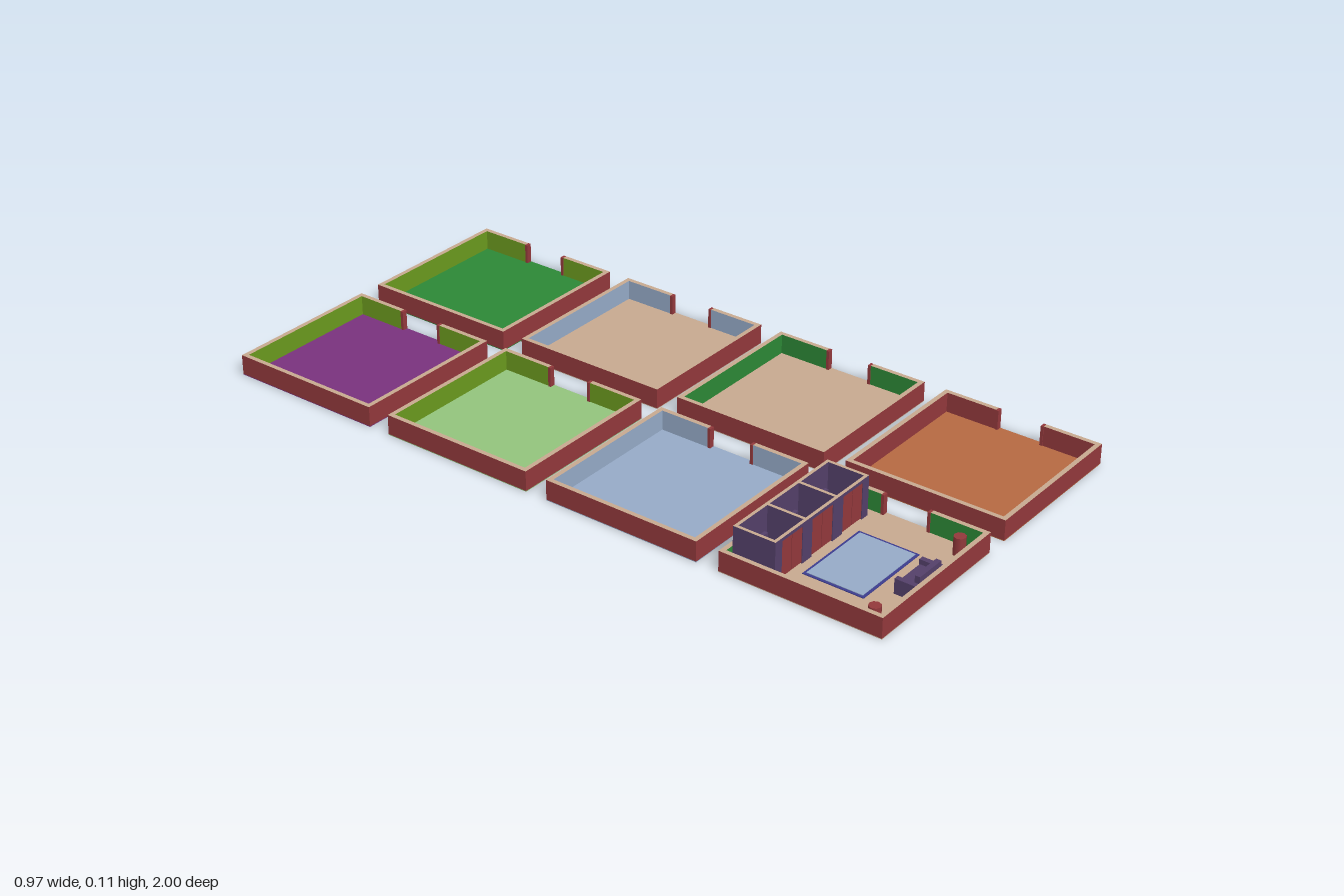
import * as THREE from 'three';

const mat = (name, color) => {
  const m = new THREE.MeshStandardMaterial({ color });
  m.name = name;
  return m;
};

export function createModel() {
  const brick = mat('brick red', 0x93393c), tan = mat('tan', 0xc8aa90);
  const purple = mat('purple', 0x7a327e), green = mat('green', 0x2d8836);
  const lime = mat('light green', 0x93c47d), blue = mat('soft blue', 0x96abc8);
  const orange = mat('terracotta', 0xb66a42), olive = mat('olive', 0x6b9a1e);
  const indigo = mat('indigo', 0x54406a), navy = mat('dark blue', 0x3d3d8f);

  const model = new THREE.Group();
  model.name = 'showroomBlocks';

  // Box given by its limits on each axis
  const box = (parent, name, material, [x0, x1], [y0, y1], [z0, z1]) => {
    const mesh = new THREE.Mesh(new THREE.BoxGeometry(x1 - x0, y1 - y0, z1 - z0), material);
    mesh.position.set((x0 + x1) / 2, (y0 + y1) / 2, (z0 + z1) / 2);
    mesh.name = name;
    parent.add(mesh);
    return mesh;
  };

  const H = 0.226, T = 0.013, TOP = 0.057, DOOR = 0.069, FLOOR = 0.002;
  // Brick wall with a tan top and one painted inner face (0 +x, 1 -x, 4 +z, 5 -z)
  const wall = (room, name, paint, face, xs, zs) => {
    const faces = [brick, brick, tan, brick, brick, brick];
    faces[face] = paint;
    box(room, name, faces, xs, [FLOOR, TOP], zs);
  };

  // Open room with a doorway in its +x wall
  const makeRoom = (name, x, z, floor, paint) => {
    const room = new THREE.Group();
    room.name = name;
    room.position.set(x, 0, z);
    model.add(room);
    box(room, 'floor', floor, [-H, H], [0, FLOOR], [-H, H]);
    wall(room, 'leftWall', paint, 0, [-H, -H + T], [-H, H]);
    wall(room, 'backWall', paint, 4, [-H + T, H], [-H, -H + T]);
    wall(room, 'frontWall', paint, 5, [-H + T, H], [H - T, H]);
    for (const s of [-1, 1]) {
      const zs = [s * DOOR, s * (H - T)].sort((a, b) => a - b);
      wall(room, 'doorWall', paint, 1, [H - T, H], zs);
      // Brick door jamb
      const j = [s * DOOR, s * (DOOR - 0.008)].sort((a, b) => a - b);
      box(room, 'doorJamb', brick, [H - T - 0.002, H], [FLOOR, TOP], j);
    }
    return room;
  };

  const layout = [
    [[purple, olive], [green, olive]],
    [[lime, olive], [tan, blue]],
    [[blue, blue], [tan, green]],
    [[tan, green], [orange, brick]],
  ];
  const rooms = layout.map((row, r) => row.map(([floor, paint], c) =>
    makeRoom('room' + (r * 2 + c + 1), c ? 0.2585 : -0.2585, -0.774 + r * 0.516, floor, paint)));

  // Furniture, placed in model coordinates
  const set = new THREE.Group();
  set.name = 'furniture';
  set.position.copy(rooms[3][0].position).negate();
  rooms[3][0].add(set);

  // Row of three fitting booths
  const booths = new THREE.Group();
  booths.name = 'fittingBooths';
  set.add(booths);
  const capped = [indigo, indigo, tan, indigo, indigo, indigo];
  const Y = [FLOOR, 0.113], zb = 0.563, zf = 0.683;
  box(booths, 'boothBack', capped, [-0.45, -0.07], Y, [zb, zb + 0.009]);
  for (const x of [-0.4455, -0.323, -0.197, -0.0745])
    box(booths, 'boothDivider', capped, [x - 0.0045, x + 0.0045], Y, [zb + 0.009, zf - 0.009]);
  for (const [a, b] of [[-0.45, -0.423], [-0.341, -0.303], [-0.218, -0.177], [-0.095, -0.07]])
    box(booths, 'boothFront', capped, [a, b], Y, [zf - 0.009, zf]);
  for (const [a, b] of [[-0.423, -0.341], [-0.303, -0.218], [-0.177, -0.095]]) {
    const m = (a + b) / 2;
    box(booths, 'boothHeader', capped, [a, b], [0.104, 0.113], [zf - 0.009, zf]);
    for (const [l, r] of [[a, m - 0.001], [m + 0.001, b]])
      box(booths, 'curtain', brick, [l, r], [0.005, 0.104], [zf - 0.007, zf - 0.002]);
    // Stool with a low back
    box(booths, 'stoolSeat', indigo, [m - 0.034, m + 0.034], [FLOOR, 0.03], [0.584, 0.632]);
    box(booths, 'stoolBack', indigo, [m - 0.034, m + 0.034], [0.03, 0.055], [0.58, 0.59]);
  }

  // Rug with a dark border
  box(set, 'rugBorder', navy, [-0.376, -0.143], [FLOOR, 0.004], [0.708, 0.878]);
  box(set, 'rug', blue, [-0.369, -0.15], [0.004, 0.0055], [0.715, 0.871]);

  // Sofa with its back to the front wall
  const sofa = new THREE.Group();
  sofa.name = 'sofa';
  set.add(sofa);
  box(sofa, 'sofaSeat', indigo, [-0.302, -0.213], [FLOOR, 0.03], [0.922, 0.965]);
  box(sofa, 'sofaBack', indigo, [-0.302, -0.213], [FLOOR, 0.062], [0.965, 0.979]);
  for (const x of [-0.309, -0.206])
    box(sofa, 'sofaArm', indigo, [x - 0.007, x + 0.007], [FLOOR, 0.043], [0.92, 0.979]);

  // Round red pedestals
  for (const [x, z] of [[-0.445, 0.953], [-0.083, 0.948]]) {
    const p = new THREE.Mesh(new THREE.CylinderGeometry(0.016, 0.016, 0.05, 8), brick);
    p.name = 'pedestal';
    p.position.set(x, 0.027, z);
    set.add(p);
  }
  return model;
}
